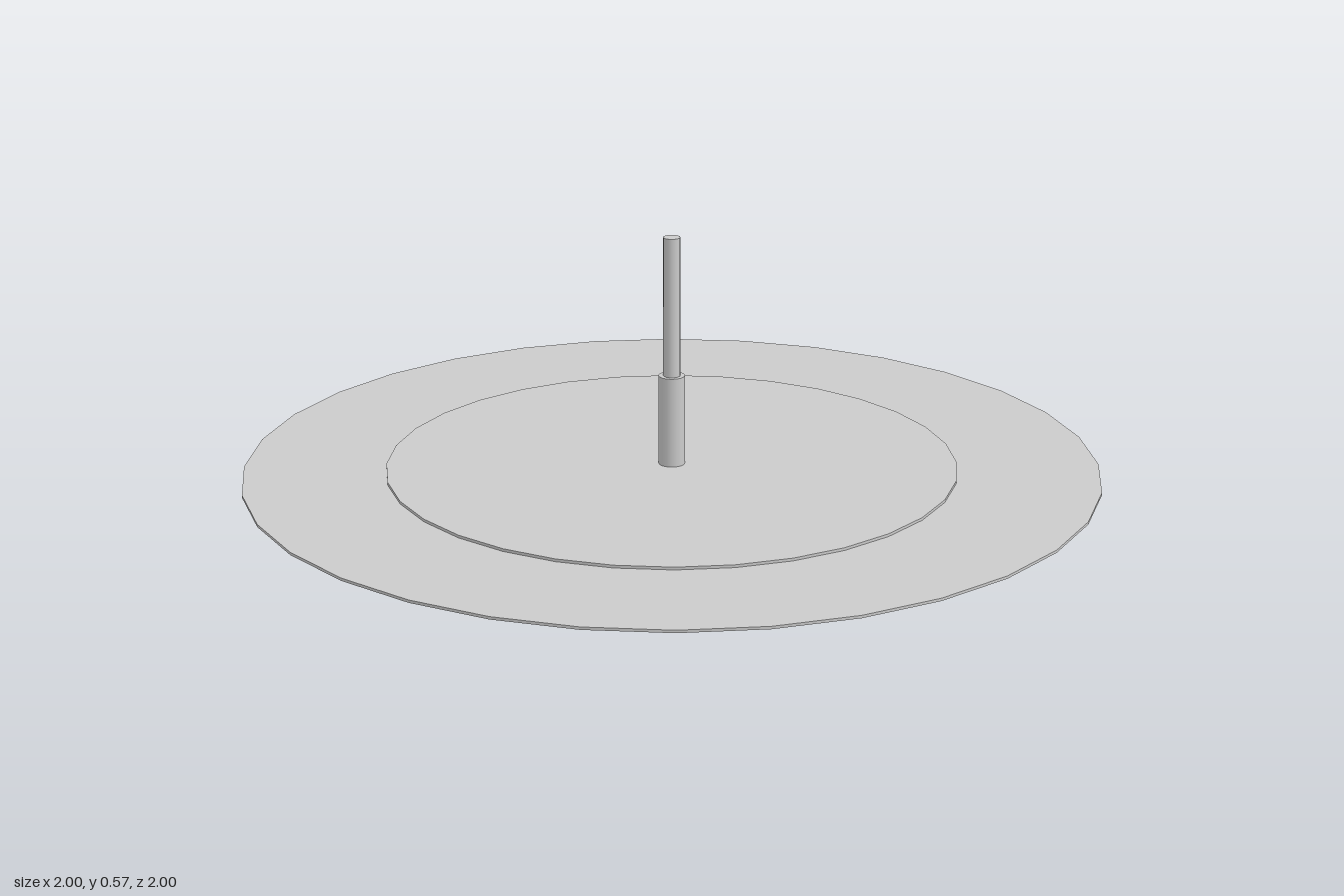
import * as THREE from 'three';

const material = new THREE.MeshStandardMaterial({ color: 0xcccccc });

// Upright cylinder spanning bottom..top
function disc(name, radius, bottom, top, sides) {
  const geometry = new THREE.CylinderGeometry(radius, radius, top - bottom, sides);
  const mesh = new THREE.Mesh(geometry, material);
  mesh.name = name;
  mesh.position.y = (bottom + top) / 2;
  return mesh;
}

export function createModel() {
  const group = new THREE.Group();
  group.name = 'spindleDisc';
  group.add(
    disc('outerPlate', 1, 0.007, 0.0135, 32), // thin wide plate
    disc('innerPlate', 0.667, 0, 0.02, 32),   // thicker core, proud on both faces
    disc('hub', 0.031, 0.01, 0.235, 16),      // lower sleeve
    disc('pin', 0.02, 0.235, 0.567, 16)       // upper rod
  );
  return group;
}
